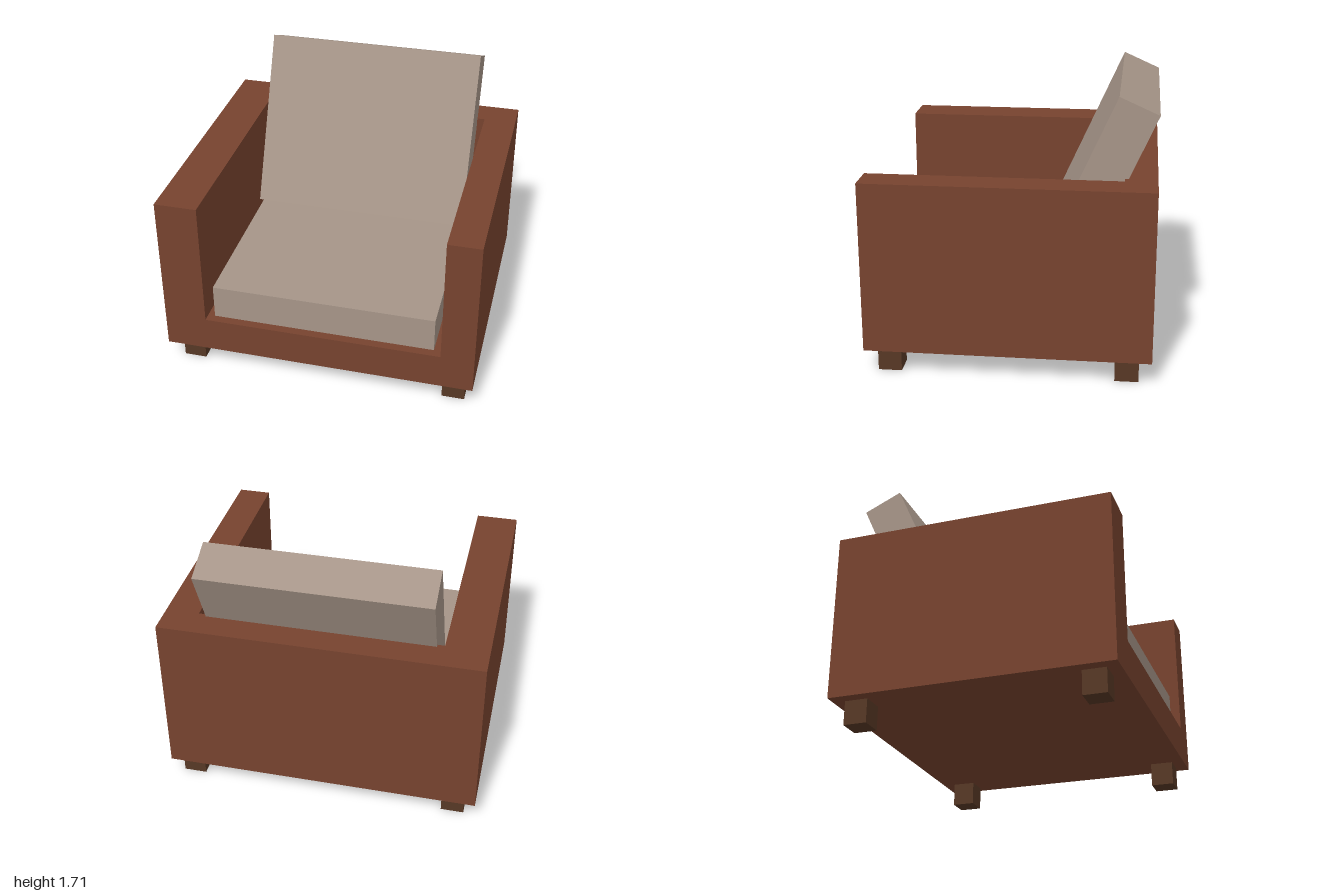
import * as THREE from 'three';

export function createModel() {
  const model = new THREE.Group();
  model.name = 'armchair';

  const material = (name, color) => {
    const m = new THREE.MeshStandardMaterial({ color });
    m.name = name;
    return m;
  };
  const leather = material('brown leather', 0x77432f);
  const fabric = material('taupe fabric', 0xa69588);
  const wood = material('dark wood', 0x573825);

  // Box given by its lower and upper corners
  const box = (name, mat, [x0, y0, z0], [x1, y1, z1], parent = model) => {
    const mesh = new THREE.Mesh(new THREE.BoxGeometry(x1 - x0, y1 - y0, z1 - z0), mat);
    mesh.position.set((x0 + x1) / 2, (y0 + y1) / 2, (z0 + z1) / 2);
    mesh.name = name;
    parent.add(mesh);
    return mesh;
  };

  // Frame: arms and base as one U-shaped profile, closed by the back panel
  const bottom = 0.15, top = 1.215, depth = 0.875, backZ = -0.68, floor = 0.38;
  const frame = new THREE.Group();
  frame.name = 'frame';
  model.add(frame);

  const profile = new THREE.Shape([
    [-1, bottom], [1, bottom], [1, top], [0.79, top],
    [0.79, floor], [-0.73, floor], [-0.73, top], [-1, top],
  ].map(([x, y]) => new THREE.Vector2(x, y)));
  const arms = new THREE.Mesh(
    new THREE.ExtrudeGeometry(profile, { depth: depth - backZ, bevelEnabled: false }), leather);
  arms.position.z = backZ;
  arms.name = 'armsAndBase';
  frame.add(arms);
  box('backPanel', leather, [-1, bottom, -depth], [1, top, backZ], frame);

  // Seat cushion
  box('seatCushion', fabric, [-0.685, 0.37, -0.605], [0.74, 0.605, 0.82]);

  // Back cushion, leaning over the back panel
  const backCushion = new THREE.Mesh(new THREE.BoxGeometry(1.425, 1.146, 0.262), fabric);
  backCushion.position.set(0.0275, 1.13, -0.52);
  backCushion.rotation.x = -THREE.MathUtils.degToRad(24.1);
  backCushion.name = 'backCushion';
  model.add(backCushion);

  // Four block legs
  for (const [side, x] of [['Right', -0.8525], ['Left', 0.8725]]) {
    for (const [end, z] of [['front', 0.725], ['back', -0.725]]) {
      box(`${end}${side}Leg`, wood, [x - 0.0725, 0, z - 0.0725], [x + 0.0725, bottom, z + 0.0725]);
    }
  }

  return model;
}
